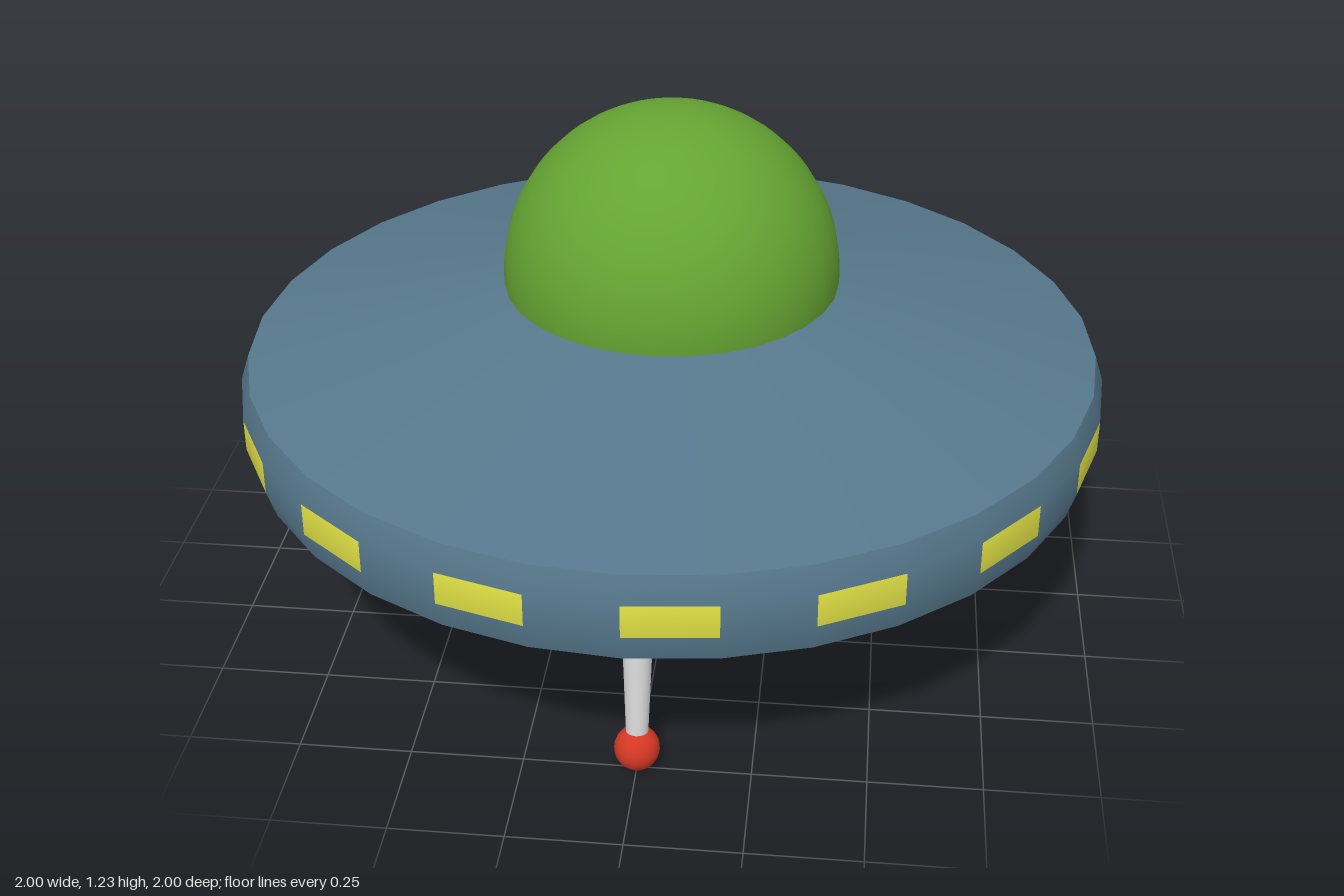
import * as THREE from 'three';

const SIDES = 32;

const flat = (name, color) => {
  const m = new THREE.MeshStandardMaterial({ color });
  m.name = name;
  return m;
};

const profile = (points) => points.map(([r, y]) => new THREE.Vector2(r, y));

// Surface of revolution; profiles run from the bottom up so faces point outward
const lathe = (points, sides = SIDES) => new THREE.LatheGeometry(profile(points), sides);

export function createModel() {
  const hullBlue = flat('hull blue', 0x56788c);
  const domeGreen = flat('dome green', 0x65a432);
  const lightYellow = flat('light yellow', 0xe0e045);
  const bellyCharcoal = flat('belly charcoal', 0x383838);
  const legGrey = flat('leg grey', 0xdadada);
  const footRed = flat('foot red', 0xd43824);

  const model = new THREE.Group();
  model.name = 'flyingSaucer';
  const add = (name, geometry, material, parent = model) => {
    const mesh = new THREE.Mesh(geometry, material);
    mesh.name = name;
    parent.add(mesh);
    return mesh;
  };

  // Hull: shallow underside and sloping upper deck
  add('hullUnderside', lathe([[0.3, 0.345], [0.42, 0.358], [0.75, 0.4], [0.98, 0.465]]), hullBlue);
  add('hullDeck', lathe([[0.98, 0.665], [0.38, 0.822]]), hullBlue);

  // Rim: every second facet of the middle row is a lit window
  const rim = lathe([[0.98, 0.465], [1, 0.53], [1, 0.605], [0.98, 0.665]]);
  for (let side = 0; side < SIDES; side++) {
    for (let row = 0; row < 3; row++) {
      const isWindow = row === 1 && side % 2 === 0;
      rim.addGroup((side * 3 + row) * 6, 6, isWindow ? 1 : 0);
    }
  }
  add('rimWithWindows', rim, [hullBlue, lightYellow]);

  // Dome: a little more than the upper half of a sphere
  const dome = add('dome', new THREE.SphereGeometry(0.385, SIDES, 20, 0, Math.PI * 2, 0, Math.PI * 0.53), domeGreen);
  dome.position.y = 0.848;

  // Belly: tapered collar, short drum and a glowing hatch
  add('bellyCollar', lathe([[0.345, 0.222], [0.425, 0.365]]), bellyCharcoal);
  add('bellyFloor', lathe([[0, 0.222], [0.345, 0.222]]), bellyCharcoal);
  const drum = add('bellyDrum', new THREE.CylinderGeometry(0.267, 0.267, 0.06, SIDES), bellyCharcoal);
  drum.position.y = 0.201;
  const hatch = add('bellyLight', new THREE.CylinderGeometry(0.228, 0.228, 0.006, SIDES), lightYellow);
  hatch.position.y = 0.169;

  // Three splayed legs with ball feet
  for (let i = 0; i < 3; i++) {
    const leg = new THREE.Group();
    leg.name = `landingLeg${i + 1}`;
    leg.rotation.y = (i * Math.PI * 2) / 3;
    model.add(leg);

    const foot = new THREE.Vector3(0, 0.05, 0.745);
    const top = new THREE.Vector3(0, 0.43, 0.706);
    const axis = top.clone().sub(foot);
    const strut = add('strut', new THREE.CylinderGeometry(0.037, 0.023, axis.length(), 16), legGrey, leg);
    strut.position.copy(foot).add(top).multiplyScalar(0.5);
    strut.quaternion.setFromUnitVectors(new THREE.Vector3(0, 1, 0), axis.normalize());

    add('foot', new THREE.SphereGeometry(0.05, 20, 14), footRed, leg).position.copy(foot);
  }

  return model;
}
